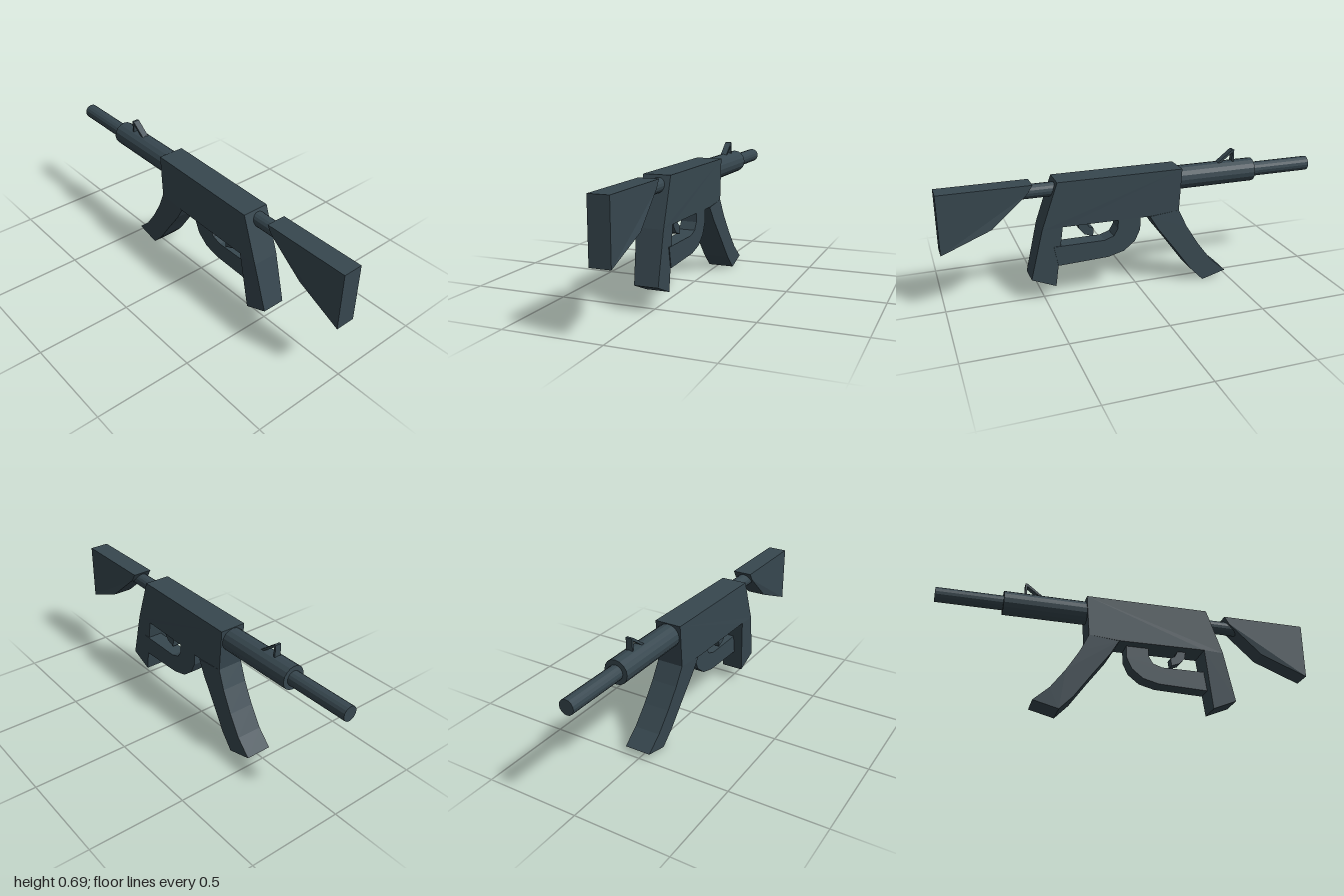
import * as THREE from 'three';

const gunmetal = new THREE.MeshStandardMaterial({ color: 0x37474f, flatShading: true });
gunmetal.name = 'gunmetal';

const lerp = THREE.MathUtils.lerp;
const ramp = (v, a, b) => THREE.MathUtils.clamp((v - a) / (b - a), 0, 1);

export function createModel() {
  const group = new THREE.Group();
  const add = (name, geometry) => {
    const mesh = new THREE.Mesh(geometry, gunmetal);
    mesh.name = name;
    group.add(mesh);
    return mesh;
  };

  // Side profile of [z, y] points, given thickness in x; section(z, y) returns [centre, halfWidth]
  const slab = (name, points, section) => {
    const shape = new THREE.Shape(points.map(([z, y]) => new THREE.Vector2(-z, y)));
    const geo = new THREE.ExtrudeGeometry(shape, { depth: 2, bevelEnabled: false });
    geo.translate(0, 0, -1).rotateY(Math.PI / 2);
    const p = geo.attributes.position;
    for (let i = 0; i < p.count; i++) {
      const [c, w] = section(p.getZ(i), p.getY(i));
      p.setX(i, c + w * Math.sign(p.getX(i)));
    }
    geo.computeVertexNormals();
    return add(name, geo);
  };

  // Cylinder lying along z
  const rod = (name, r, z0, z1, x, y, sides = 16) => {
    const geo = new THREE.CylinderGeometry(r, r, z1 - z0, sides);
    geo.rotateX(Math.PI / 2).translate(x, y, (z0 + z1) / 2);
    return add(name, geo);
  };

  // Receiver, slightly skewed along its length
  const bodyCentre = z => lerp(-0.01, -0.02, ramp(z, -0.235, 0.42));
  slab('receiver', [[0.42, 0.63], [-0.235, 0.633], [-0.22, 0.41], [-0.06, 0.395], [0.4, 0.395], [0.505, 0.39]],
    z => [bodyCentre(z), 0.07]);

  // Rear grip, narrowing downward
  slab('grip', [[0.505, 0.39], [0.4, 0.395], [0.445, 0.077], [0.57, 0.13]],
    (z, y) => [lerp(-0.01, -0.02, ramp(y, 0.1, 0.4)), lerp(0.06, 0.07, ramp(y, 0.1, 0.4))]);

  // Curved magazine, leaning to one side toward the foot
  slab('magazine', [
    [-0.22, 0.41], [-0.265, 0.315], [-0.33, 0.21], [-0.405, 0.11], [-0.487, 0.037],
    [-0.355, 0.003], [-0.285, 0.075], [-0.195, 0.2], [-0.105, 0.32], [-0.06, 0.395],
  ], (z, y) => [lerp(0.019, -0.01, ramp(y, 0.0, 0.41)), 0.07]);

  // Stock
  slab('stock', [[1, 0.63], [0.54, 0.63], [0.565, 0.59], [0.75, 0.43], [1, 0.325]],
    (z, y) => [y < 0.5 && z < 0.9 ? 0.003 : -0.006, 0.052]);

  // Tubes
  rod('stockTube', 0.036, 0.4, 0.66, -0.01, 0.582);
  rod('handguard', 0.062, -0.66, -0.2, -0.01, 0.568);
  rod('barrel', 0.038, -1, -0.65, -0.01, 0.567);

  // Trigger guard
  slab('triggerGuard', [
    [-0.01, 0.4], [-0.008, 0.33], [0.02, 0.27], [0.08, 0.222], [0.165, 0.2], [0.43, 0.19],
    [0.45, 0.295], [0.185, 0.295], [0.135, 0.312], [0.112, 0.35], [0.11, 0.4],
  ], () => [0.012, 0.042]);

  // Trigger
  slab('trigger', [
    [0.315, 0.4], [0.308, 0.36], [0.28, 0.327], [0.235, 0.31],
    [0.23, 0.352], [0.255, 0.365], [0.272, 0.4],
  ], () => [-0.01, 0.025]);

  // Front sight: upright post and slanted brace
  slab('frontSight', [
    [-0.552, 0.62], [-0.552, 0.69], [-0.54, 0.69], [-0.45, 0.62],
    [-0.468, 0.62], [-0.542, 0.676], [-0.542, 0.62],
  ], () => [-0.009, 0.017]);

  return group;
}
